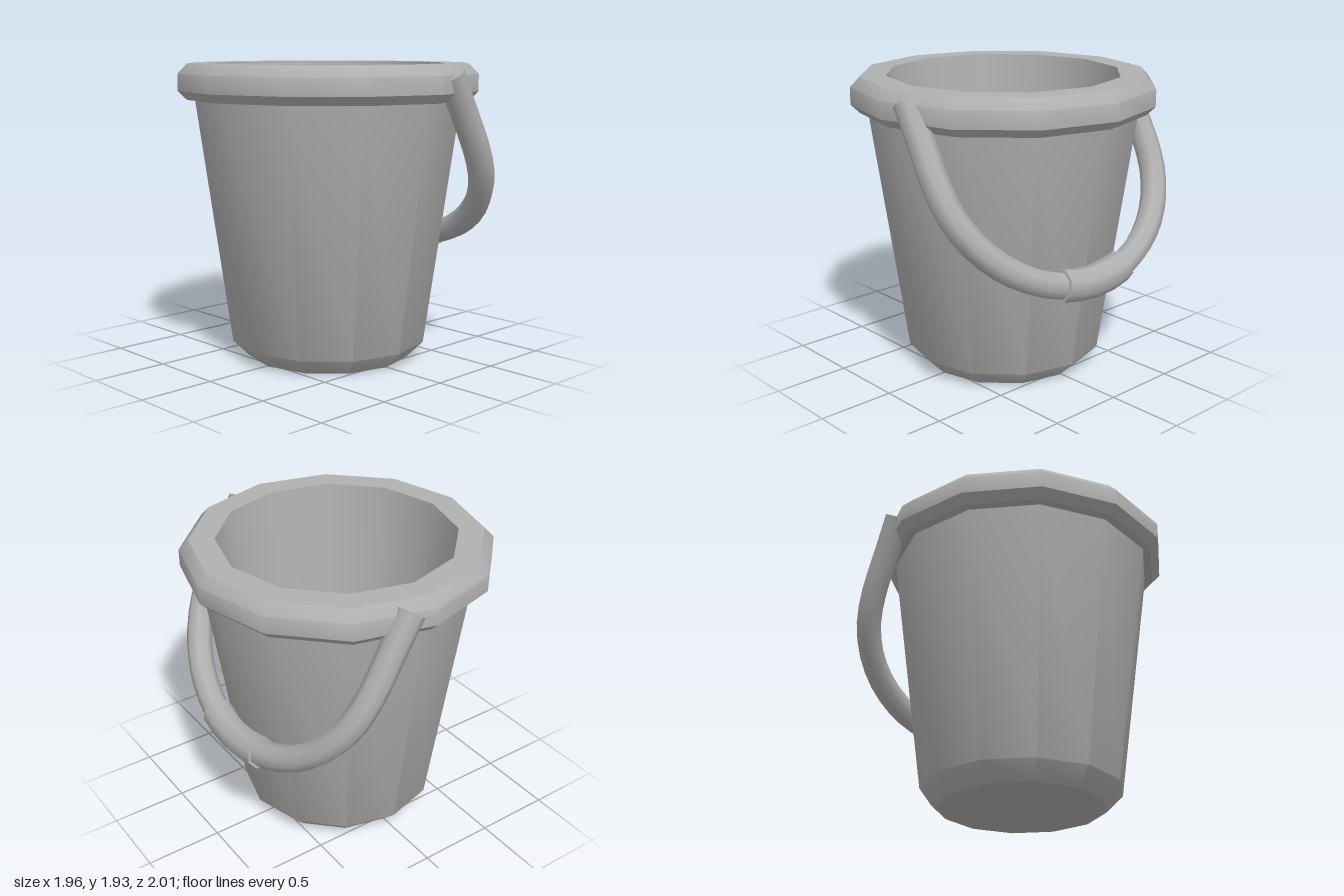
import * as THREE from 'three';
import { toCreasedNormals } from 'three/addons/utils/BufferGeometryUtils.js';

export function createModel() {
  const model = new THREE.Group();
  model.name = 'bucket';
  const grey = new THREE.MeshStandardMaterial({ color: 0xb0b0b0, side: THREE.DoubleSide });
  grey.name = 'grey plastic';

  function add(parent, name, geometry) {
    const mesh = new THREE.Mesh(geometry, grey);
    mesh.name = name;
    parent.add(mesh);
    return mesh;
  }

  // Twelve-sided shells: tapered outer wall, chamfered rim, inner wall and floor
  function turned(name, profile) {
    const points = profile.map(([r, y]) => new THREE.Vector2(r, y));
    const geometry = new THREE.LatheGeometry(points, 12).toNonIndexed();
    const mesh = add(model, name, toCreasedNormals(geometry, THREE.MathUtils.degToRad(43)));
    mesh.position.z = 0.012;
  }
  turned('outerWall', [[0, 0], [0.54, 0], [0.65, 0.11], [0.873, 1.7]]);
  turned('rim', [[0.86, 1.705], [0.925, 1.705], [0.982, 1.76], [0.982, 1.87], [0.92, 1.935], [0.757, 1.935]]);
  turned('innerWall', [[0.757, 1.935], [0.54, 0.12], [0, 0.12]]);

  // Handle hanging to the left, modelled in its own plane: straight arms joined by a curve
  const handle = new THREE.Group();
  handle.name = 'handle';
  handle.position.set(0.155, 1.875, 0);
  handle.rotation.z = 0.514;
  model.add(handle);

  const arm = 0.52, drop = 0.8, reach = 0.914;
  const bow = (a) => new THREE.Vector3(0, -arm - drop * Math.cos(a), reach * Math.sin(a));

  // Tube with a flat cap on each end
  function cappedTube(name, points, segments, radius) {
    const curve = new THREE.CatmullRomCurve3(points);
    add(handle, name, new THREE.TubeGeometry(curve, segments, radius, 8));
    for (const t of [0, 1]) {
      const cap = add(handle, name + 'Cap', new THREE.CircleGeometry(radius, 8));
      const outward = curve.getTangent(t).multiplyScalar(t ? 1 : -1);
      cap.position.copy(curve.getPoint(t));
      cap.quaternion.setFromUnitVectors(new THREE.Vector3(0, 0, 1), outward);
    }
  }

  const path = [new THREE.Vector3(0, 0, reach), new THREE.Vector3(0, -arm / 2, reach)];
  for (let i = 0; i <= 12; i++) path.push(bow(Math.PI / 2 - (i * Math.PI) / 12));
  path.push(new THREE.Vector3(0, -arm / 2, -reach), new THREE.Vector3(0, 0, -reach));
  cappedTube('handleBar', path, 36, 0.086);

  // Thicker sleeve around the middle of the handle
  cappedTube('grip', [-0.3, -0.15, 0, 0.15, 0.3].map(bow), 4, 0.104);

  return model;
}
